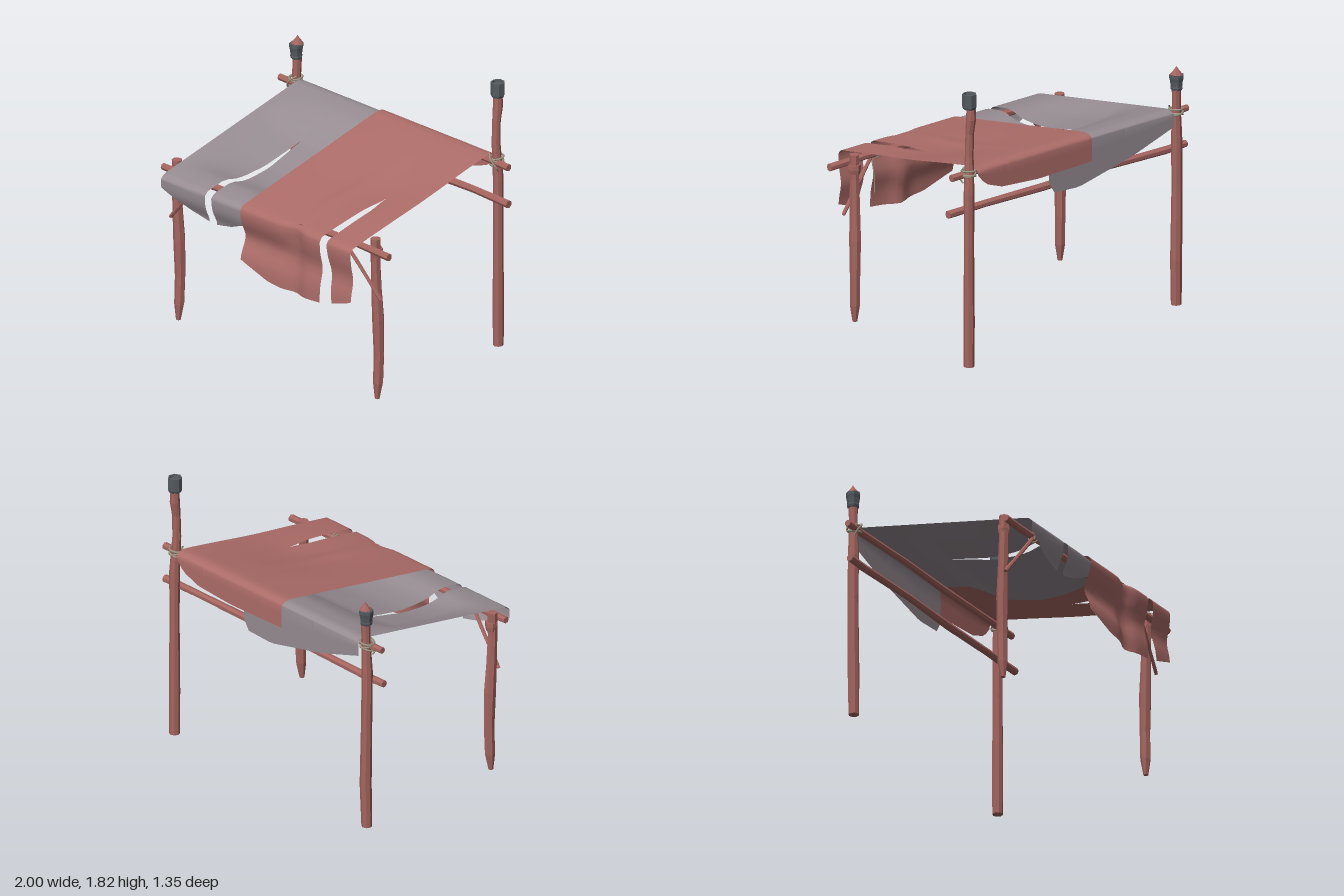
import * as THREE from 'three';

const mat = (name, color, extra = {}) => {
  const m = new THREE.MeshStandardMaterial({ color, ...extra });
  m.name = name;
  return m;
};

// Piecewise-linear lookup through [x, value] pairs
const lookup = (pts) => (x) => {
  if (x <= pts[0][0]) return pts[0][1];
  for (let i = 1; i < pts.length; i++) {
    const [a, va] = pts[i - 1], [b, vb] = pts[i];
    if (x <= b) return va + (vb - va) * (x - a) / (b - a);
  }
  return pts[pts.length - 1][1];
};

const bump = (v, c, w) => Math.exp(-(((v - c) / w) ** 2));

export function createModel() {
  const wood = mat('wood', 0xa5655f, { flatShading: true });
  const metal = mat('darkMetal', 0x555b60, { flatShading: true });
  const rope = mat('rope', 0xa39a84);
  const redCloth = mat('redCloth', 0xad6d69, { side: THREE.DoubleSide });
  const greyCloth = mat('greyCloth', 0x968c92, { side: THREE.DoubleSide });
  const group = new THREE.Group();

  const add = (name, geo, material) => {
    const m = new THREE.Mesh(geo, material);
    m.name = name;
    group.add(m);
    return m;
  };

  // Faceted turned solid from [radius, height] pairs, with an optional bend in x and z
  const turned = (profile, sides, bend) => {
    const geo = new THREE.LatheGeometry(profile.map(([r, y]) => new THREE.Vector2(r, y)), sides);
    const p = geo.attributes.position;
    if (bend) {
      for (let i = 0; i < p.count; i++) {
        const [dx, dz] = bend(p.getY(i));
        p.setX(i, p.getX(i) + dx);
        p.setZ(i, p.getZ(i) + dz);
      }
    }
    const flat = geo.toNonIndexed();
    flat.computeVertexNormals();
    return flat;
  };

  // Straight, slightly uneven pole between two points
  const pole = (name, from, to, r, sides = 7) => {
    const a = new THREE.Vector3(...from), d = new THREE.Vector3(...to).sub(a), L = d.length();
    const profile = [[0, 0], [r * 0.9, 0], [r, L * 0.08], [r * 0.88, L * 0.35], [r * 1.02, L * 0.6],
      [r * 0.9, L * 0.85], [r, L], [0, L]];
    const m = add(name, turned(profile, sides, (y) => [0.15 * r * Math.sin(y * 7), 0.15 * r * Math.cos(y * 9)]), wood);
    m.position.copy(a);
    m.quaternion.setFromUnitVectors(new THREE.Vector3(0, 1, 0), d.normalize());
  };

  // Back posts
  add('tallBackPost', turned([[0, 0], [0.034, 0], [0.036, 0.3], [0.032, 0.8], [0.034, 1.15], [0.028, 1.4],
    [0.027, 1.55], [0.032, 1.65], [0.028, 1.75], [0, 1.75]], 8,
    (y) => [y > 1.3 ? -0.006 : 0.004, 0.012 * bump(y, 1.45, 0.12) - (y > 1.55 ? 0.008 : 0)]), wood)
    .position.set(0.846, 0, -0.63);
  add('shortBackPost', turned([[0, 0], [0.034, 0], [0.038, 0.3], [0.035, 0.8], [0.036, 1.1], [0.028, 1.3],
    [0.03, 1.45], [0.032, 1.535], [0.04, 1.54], [0.012, 1.575], [0, 1.595]], 8,
    (y) => [0.005 * Math.sin(y * 5), 0.004 * Math.cos(y * 6)]), wood)
    .position.set(-0.885, 0, -0.627);

  // Metal post caps
  add('tallPostCap', turned([[0, 1.72], [0.04, 1.72], [0.046, 1.735], [0.046, 1.82], [0.036, 1.82], [0.034, 1.805], [0, 1.805]], 7), metal)
    .position.set(0.846, 0, -0.63);
  add('shortPostCap', turned([[0, 1.435], [0.036, 1.435], [0.04, 1.45], [0.038, 1.46], [0.042, 1.495], [0.047, 1.515], [0.047, 1.535], [0, 1.535]], 7), metal)
    .position.set(-0.885, 0, -0.627);

  // Front posts with sharpened feet, collars and slanting braces
  for (const s of [-1, 1]) {
    const side = s > 0 ? 'left' : 'right';
    const x = s > 0 ? 0.84 : -0.872;
    add(side + 'FrontPost', turned([[0, 0], [0.016, 0], [0.033, 0.11], [0.034, 0.3], [0.039, 0.55], [0.034, 0.75],
      [0.031, 0.95], [0.033, 1.11], [0, 1.11]], 7,
      (y) => [0.006 * Math.sin(y * 5), -0.01 * Math.sin(y * 4.5)]), wood).position.set(x, 0, 0.47);
    add(side + 'PostCollar', turned([[0, 0], [0.036, 0], [0.042, 0.03], [0.04, 0.06], [0, 0.06]], 6), wood)
      .position.set(x, 0.985, 0.475);
    pole(side + 'Brace', [s * 0.905, 0.715, 0.505], [s * 0.6, 1.08, 0.552], 0.013, 6);
  }

  // Cross beams
  pole('ridgeBeam', [-1, 1.278, -0.6], [0.97, 1.278, -0.6], 0.024);
  pole('lowerBackBeam', [-1, 1.035, -0.585], [0.985, 1.035, -0.585], 0.026);
  pole('frontBeam', [-0.945, 1.06, 0.53], [1, 1.05, 0.53], 0.025);

  // Rope lashings
  const tube = (name, pts, r = 0.006) => add(name, new THREE.TubeGeometry(
    new THREE.CatmullRomCurve3(pts.map((p) => new THREE.Vector3(...p))), 24, r, 5), rope);
  for (const x of [0.846, -0.885]) {
    for (const [dy, tilt] of [[-0.014, 0.25], [0.004, -0.2], [0.022, 0.1]]) {
      const loop = add('postLashing', new THREE.TorusGeometry(0.044, 0.007, 5, 16), rope);
      loop.position.set(x, 1.283 + dy, -0.62);
      loop.rotation.set(Math.PI / 2 + tilt, tilt, 0);
    }
    const h = Math.sign(x) * 0.035;
    tube('lashingTail', [[x - h, 1.33, -0.59], [x, 1.3, -0.565], [x + h, 1.25, -0.58], [x + h * 0.8, 1.22, -0.6]]);
  }
  for (const x of [0.6, -0.62]) {
    for (const dx of [-0.012, 0.012]) {
      const loop = add('braceLashing', new THREE.TorusGeometry(0.029, 0.005, 5, 14), rope);
      loop.position.set(x + dx, 1.052, 0.536);
      loop.rotation.y = Math.PI / 2 + dx * 12;
    }
  }
  tube('hangingRope', [[0.59, 1.06, 0.57], [0.605, 0.98, 0.568], [0.6, 0.88, 0.56], [0.602, 0.78, 0.555]], 0.004);

  // Draped sheet: a grid from the back hem, over the ridge, down the slope to the front hem.
  // A slit is a pair of columns that part beyond its tip, easing the columns beside it.
  const sheet = (name, o, material) => {
    const cols = [];
    const span = (a, b, n, dir) => {
      for (let i = 0; i <= n; i++) {
        const t = i / n;
        cols.push([a + (b - a) * t, dir * (dir < 0 ? t : 1 - t)]);
      }
    };
    span(o.x0, o.slit, o.n0, -1);
    const gap = cols.length - 1;
    span(o.slit, o.x1, o.n1, 1);
    const rows = [];
    for (const k of [1, 0.66, 0.33, 0]) rows.push(['back', k]);
    for (const p of [[-0.65, 1.3], [-0.63, 1.312], [-0.6, 1.316]]) rows.push(['ridge', p]);
    for (let i = 0; i <= 20; i++) rows.push(['slope', -0.56 + 1.18 * i / 20]);
    for (const p of [[0.65, 1.082], [0.665, 1.068]]) rows.push(['edge', p]);
    for (let i = 0; i <= 10; i++) rows.push(['front', i / 10]);

    const pos = [], idx = [];
    for (const [kind, v] of rows) {
      for (const [cx, pull] of cols) {
        const along = kind === 'slope' ? v : kind === 'edge' ? v[0] : kind === 'front' ? 0.67 : -1;
        let x = cx + pull * o.width(along);
        if (kind === 'front') x += Math.max(pull, 0) * o.flare * v;
        let y, z;
        if (kind === 'back') {
          y = 1.285 + (o.back(cx) - 1.285) * v;
          z = -0.66 + o.inset;
        } else if (kind === 'slope') {
          z = v;
          y = 1.311 - 0.222 * (v + 0.56) / 1.18 - o.inset - o.sag(cx, v);
        } else if (kind === 'front') {
          y = 1.05 + (o.front(x) - 1.05) * v;
          z = 0.674 - o.inset - o.wave(cx, y);
        } else {
          [z, y] = v;
          y -= o.inset;
          z += kind === 'edge' ? -o.inset - o.wave(cx, y) : o.inset;
        }
        pos.push(x, y, z);
      }
    }
    const w = cols.length;
    for (let r = 0; r < rows.length - 1; r++) {
      for (let c = 0; c < w - 1; c++) {
        if (c === gap) continue;
        const a = r * w + c, b = a + 1, d = a + w, e = d + 1;
        idx.push(a, d, b, b, d, e);
      }
    }
    const geo = new THREE.BufferGeometry();
    geo.setAttribute('position', new THREE.Float32BufferAttribute(pos, 3));
    geo.setIndex(idx);
    geo.computeVertexNormals();
    add(name, geo, material);
  };

  const redFold = lookup([[-0.15, 0.05], [0.25, 0.045], [0.5, 0.03], [0.8, 0.025]]);
  sheet('redCanopy', {
    x0: -0.15, x1: 0.8, slit: 0.563, n0: 18, n1: 6, inset: 0, flare: 0.045,
    width: lookup([[0.12, 0], [0.25, 0.022], [0.6, 0.029], [1.1, 0.026]]),
    back: lookup([[-0.15, 1.14], [0.3, 1.13], [0.6, 1.15], [0.74, 1.2], [0.8, 1.27]]),
    front: lookup([[-0.15, 0.715], [0.09, 0.637], [0.33, 0.615], [0.54, 0.635], [0.635, 0.66], [0.8, 0.715]]),
    sag: (x, z) => 0.028 * bump(z, 0, 0.3) * bump(x, 0.45, 0.3) - 0.012 * bump(x, 0.33, 0.04) * bump(z, 0.1, 0.35),
    wave: (x, y) => redFold(x) * bump(y, 0.86, 0.09) + 0.035 * bump(x, 0.32, 0.07) * (y > 0.95 || y < 0.8 ? 1 : 0.6),
  }, redCloth);

  // The grey sheet runs on beneath the red one and hangs slack across its middle
  const slackAcross = lookup([[-0.84, 0], [-0.65, 0.6], [-0.45, 0.85], [-0.15, 0.95], [0.2, 1]]);
  const slackAlong = lookup([[-0.45, 0], [-0.3, 0.045], [-0.2, 0.095], [0.12, 0.112], [0.3, 0.085], [0.4, 0.05], [0.47, 0.005], [0.55, 0]]);
  sheet('greyCanopy', {
    x0: -0.84, x1: 0.2, slit: -0.435, n0: 8, n1: 14, inset: 0.009, flare: 0.01,
    width: lookup([[-0.2, 0], [0.15, 0.02], [0.35, 0.027], [1.1, 0.027]]),
    back: lookup([[-0.84, 1.2], [-0.5, 1.09], [-0.05, 0.99], [0.16, 1], [0.2, 1.07]]),
    front: lookup([[-0.84, 0.99], [-0.72, 0.935], [-0.6, 0.89], [-0.46, 0.858], [-0.39, 0.858], [-0.27, 0.885], [-0.15, 0.94], [0.2, 1.03]]),
    sag: (x, z) => slackAcross(x) * slackAlong(z) + 0.02 * bump(x, 0.3, 0.25) * bump(z, 0, 0.3),
    wave: (x, y) => 0.045 * bump(y, 0.86, 0.08) + 0.008 * bump(x, -0.1, 0.1),
  }, greyCloth);

  return group;
}
